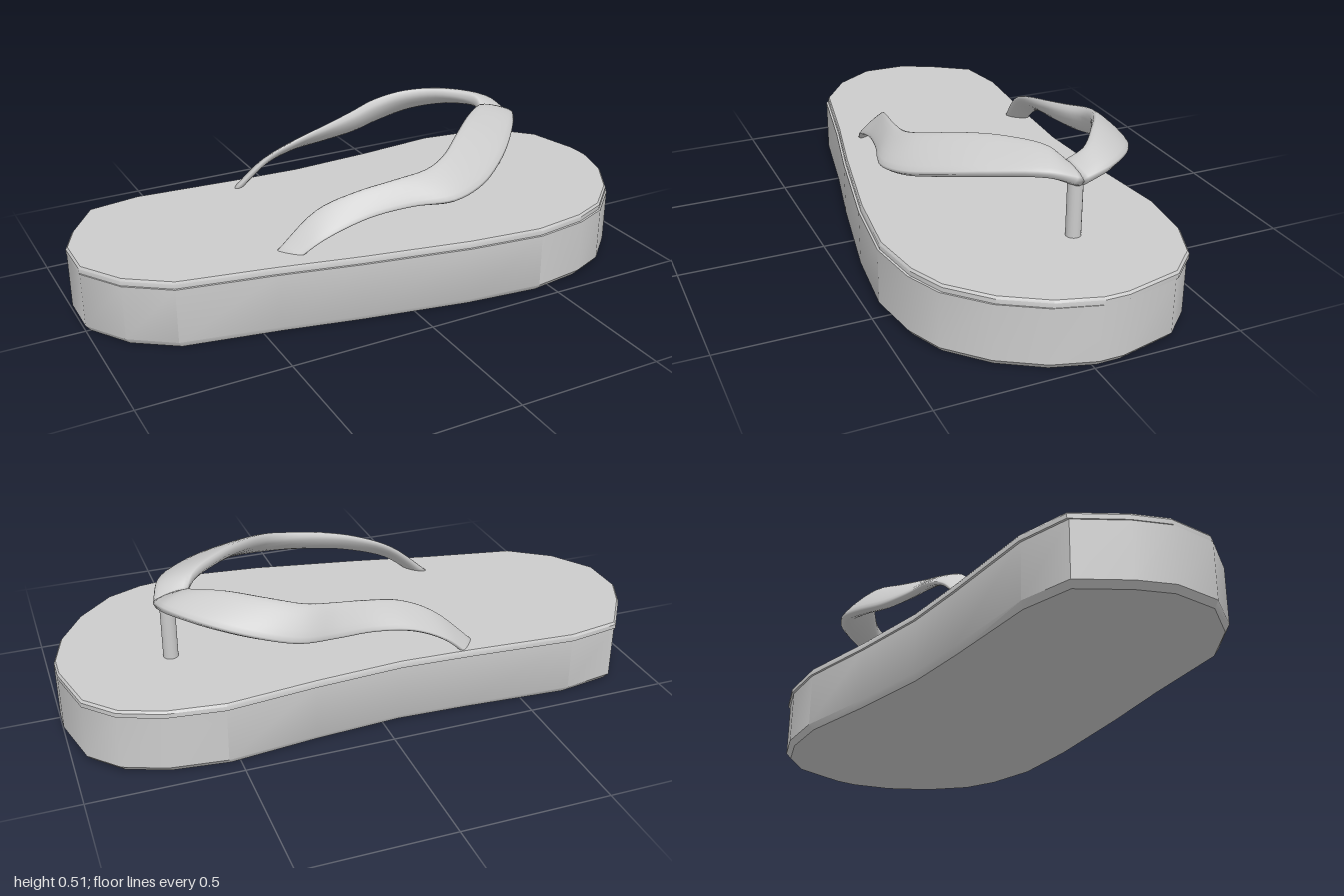
import * as THREE from 'three';
import { toCreasedNormals } from 'three/addons/utils/BufferGeometryUtils.js';

const material = new THREE.MeshStandardMaterial({ color: 0xcccccc, side: THREE.DoubleSide });

// Footprint as [x, z], heel at -x and toes at +x
const outline = [
  [-1, -0.16], [-0.95, -0.27], [-0.85, -0.415], [-0.67, -0.445], [-0.3, -0.42], [-0.06, -0.41],
  [0.24, -0.43], [0.54, -0.463], [0.73, -0.44], [0.865, -0.385], [0.955, -0.29], [1, -0.1],
  [1, -0.02], [0.96, 0.12], [0.875, 0.26], [0.755, 0.375], [0.635, 0.425], [0.45, 0.453],
  [0.19, 0.425], [-0.18, 0.355], [-0.45, 0.295], [-0.77, 0.235], [-0.91, 0.135], [-1, -0.005],
];

// Joins equal rings of Vector3 into a skin, optionally closed by a fan at each end
function loft(rings, capped) {
  const n = rings[0].length;
  const points = rings.flat();
  const index = [];
  for (let r = 0; r < rings.length - 1; r++) {
    for (let i = 0; i < n; i++) {
      const a = r * n + i, b = r * n + (i + 1) % n;
      index.push(a, a + n, b, b, a + n, b + n);
    }
  }
  if (capped) {
    const last = (rings.length - 1) * n;
    const centre = (ring) => ring.reduce((s, p) => s.add(p), new THREE.Vector3()).divideScalar(n);
    const c0 = points.push(centre(rings[0])) - 1;
    const c1 = points.push(centre(rings[rings.length - 1])) - 1;
    for (let i = 0; i < n; i++) {
      const j = (i + 1) % n;
      index.push(c0, i, j, c1, last + j, last + i);
    }
  }
  const geometry = new THREE.BufferGeometry().setFromPoints(points);
  geometry.setIndex(index);
  geometry.computeVertexNormals();
  return geometry;
}

// Slab over the footprint; levels are [height, inset]
function slab(name, levels, shiftZ) {
  const rings = levels.map(([y, inset]) => outline.map(([x, z]) =>
    new THREE.Vector3(x * (1 - inset), y, z * (1 - inset * 2) + shiftZ)));
  const mesh = new THREE.Mesh(toCreasedNormals(loft(rings, true), 0.62), material);
  mesh.name = name;
  return mesh;
}

// Domed band between an outer and an inner edge curve, running from toe post to foot
function strapArm(name, outerPoints, innerPoints, side) {
  const curve = (pts) => new THREE.CatmullRomCurve3(pts.map((p) => new THREE.Vector3(...p)));
  const outer = curve(outerPoints), inner = curve(innerPoints);
  const steps = 45, around = 16, rings = [];
  const middle = (t) => outer.getPoint(t).add(inner.getPoint(t)).multiplyScalar(0.5);
  for (let s = 0; s <= steps; s++) {
    const t = s / steps;
    const centre = middle(t);
    const half = outer.getPoint(t).sub(inner.getPoint(t)).multiplyScalar(0.5);
    const along = middle(Math.min(1, t + 0.01)).sub(middle(Math.max(0, t - 0.01)));
    const normal = along.cross(half).normalize().multiplyScalar(-side);
    const taper = 1 - 0.55 * THREE.MathUtils.smoothstep(t, 0.45, 0.9);
    const ring = [];
    for (let i = 0; i < around; i++) {
      const a = -side * i / around * Math.PI * 2;
      const rise = Math.sin(a);
      const height = Math.sign(rise) * Math.pow(Math.abs(rise), 0.75) * (rise > 0 ? 0.036 : 0.015);
      ring.push(centre.clone().addScaledVector(half, Math.cos(a)).addScaledVector(normal, height * taper));
    }
    rings.push(ring);
  }
  const mesh = new THREE.Mesh(loft(rings, true), material);
  mesh.name = name;
  return mesh;
}

export function createModel() {
  const model = new THREE.Group();
  model.name = 'flipFlop';

  // Thick sole with a chamfered lower edge, and the thin footbed on top
  model.add(slab('sole', [[0, 0.016], [0.02, 0], [0.207, 0]], 0.006));
  model.add(slab('footbed', [[0.207, 0], [0.222, 0], [0.23, 0.006]], -0.002));

  // Toe post
  const post = new THREE.Mesh(new THREE.CylinderGeometry(0.025, 0.025, 0.23, 16), material);
  post.name = 'toePost';
  post.position.set(0.635, 0.33, -0.115);
  model.add(post);

  // The two arms of the strap, meeting over the post
  const straps = new THREE.Group();
  straps.name = 'strap';
  straps.add(strapArm('leftStrapArm', [
    [0.68, 0.43, -0.12], [0.645, 0.455, -0.02], [0.53, 0.435, 0.13], [0.42, 0.405, 0.235],
    [0.295, 0.37, 0.315], [0.17, 0.35, 0.345], [0.03, 0.345, 0.31], [-0.115, 0.325, 0.283],
    [-0.27, 0.275, 0.267], [-0.36, 0.215, 0.245],
  ], [
    [0.565, 0.45, -0.11], [0.53, 0.49, -0.075], [0.42, 0.5, 0.02], [0.31, 0.485, 0.12],
    [0.2, 0.455, 0.21], [0.12, 0.435, 0.24], [0, 0.42, 0.238], [-0.13, 0.395, 0.215],
    [-0.26, 0.345, 0.185], [-0.41, 0.22, 0.178],
  ], 1));
  straps.add(strapArm('rightStrapArm', [
    [0.68, 0.43, -0.12], [0.665, 0.45, -0.215], [0.565, 0.44, -0.335], [0.43, 0.41, -0.41],
    [0.295, 0.375, -0.43], [0.165, 0.355, -0.405], [0.03, 0.345, -0.388], [-0.11, 0.325, -0.395],
    [-0.22, 0.275, -0.407], [-0.29, 0.215, -0.412],
  ], [
    [0.565, 0.45, -0.11], [0.57, 0.485, -0.17], [0.48, 0.505, -0.25], [0.36, 0.495, -0.325],
    [0.25, 0.47, -0.355], [0.14, 0.445, -0.335], [0.04, 0.425, -0.315], [-0.09, 0.395, -0.3],
    [-0.2, 0.345, -0.315], [-0.34, 0.22, -0.345],
  ], -1));
  model.add(straps);

  return model;
}
